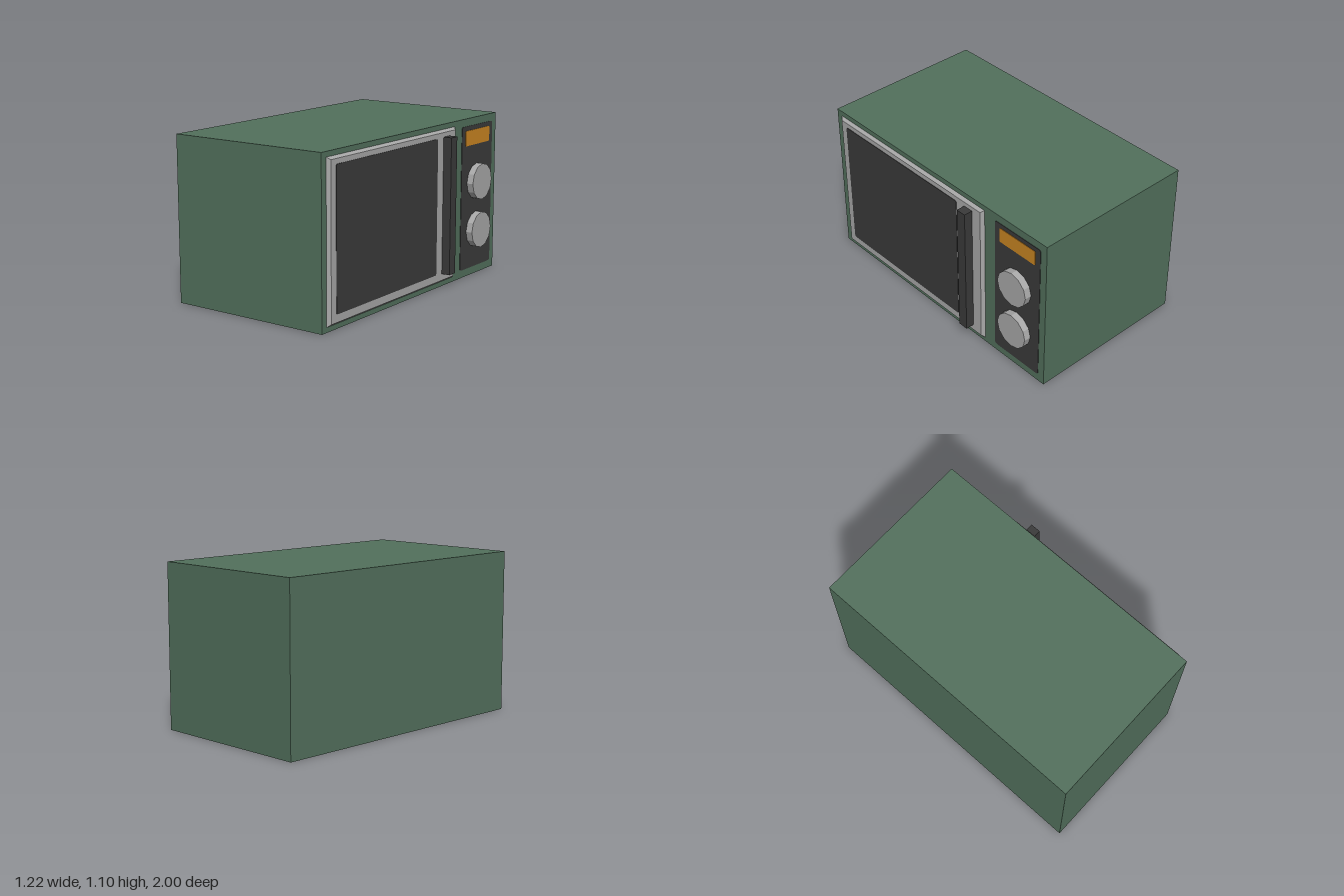
import * as THREE from 'three';

const mat = (name, color) => {
  const m = new THREE.MeshStandardMaterial({ color });
  m.name = name;
  return m;
};

export function createModel() {
  const green = mat('green enamel', 0x52705c);
  const silver = mat('silver', 0xa8a8a8);
  const dark = mat('dark grey', 0x3a3a3a);
  const amber = mat('amber', 0xc98522);

  const group = new THREE.Group();
  group.name = 'microwave';
  const add = (name, geometry, material) => {
    const mesh = new THREE.Mesh(geometry, material);
    mesh.name = name;
    group.add(mesh);
    return mesh;
  };

  // Box given by its limits on each axis
  const block = (x0, x1, y0, y1, z0, z1) =>
    new THREE.BoxGeometry(x1 - x0, y1 - y0, z1 - z0)
      .translate((x0 + x1) / 2, (y0 + y1) / 2, (z0 + z1) / 2);

  // Thin rounded plate facing +x
  const plate = (x, y0, y1, z0, z1, r, depth = 0.003) => {
    const s = new THREE.Shape();
    const a = -z1, b = -z0;
    s.moveTo(a + r, y0);
    s.lineTo(b - r, y0).quadraticCurveTo(b, y0, b, y0 + r);
    s.lineTo(b, y1 - r).quadraticCurveTo(b, y1, b - r, y1);
    s.lineTo(a + r, y1).quadraticCurveTo(a, y1, a, y1 - r);
    s.lineTo(a, y0 + r).quadraticCurveTo(a, y0, a + r, y0);
    return new THREE.ExtrudeGeometry(s, { depth, bevelEnabled: false, curveSegments: 4 })
      .rotateY(Math.PI / 2).translate(x, 0, 0);
  };

  // Cabinet
  add('cabinet', block(-0.61, 0.53, 0, 1.1, -1, 1), green);

  // Door: a slab whose outer face is inset to slope the rim
  const door = block(0.53, 0.55, 0.033, 1.066, -0.46, 0.953);
  const p = door.attributes.position;
  for (let i = 0; i < p.count; i++) {
    if (p.getX(i) < 0.54) continue;
    p.setY(i, p.getY(i) + (p.getY(i) > 0.5 ? -0.016 : 0.016));
    p.setZ(i, p.getZ(i) + (p.getZ(i) > 0.2 ? -0.02 : 0.02));
  }
  door.computeVertexNormals();
  add('door', door, silver);
  add('doorWindow', plate(0.55, 0.1, 1.017, -0.223, 0.883, 0.015), dark);
  add('doorHandle', block(0.549, 0.61, 0.094, 1.02, -0.366, -0.295), dark);

  // Control panel and display
  add('controlPanel', plate(0.53, 0.053, 1.048, -0.95, -0.555, 0.02), dark);
  add('display', plate(0.533, 0.913, 1.017, -0.908, -0.598, 0.012), amber);

  // Dials
  for (const [name, y] of [['upperDial', 0.655], ['lowerDial', 0.317]]) {
    const geo = new THREE.CylinderGeometry(0.125, 0.125, 0.05, 12).toNonIndexed();
    geo.computeVertexNormals();
    geo.rotateZ(-Math.PI / 2);
    add(name, geo, silver).position.set(0.555, y, -0.752);
  }

  return group;
}
